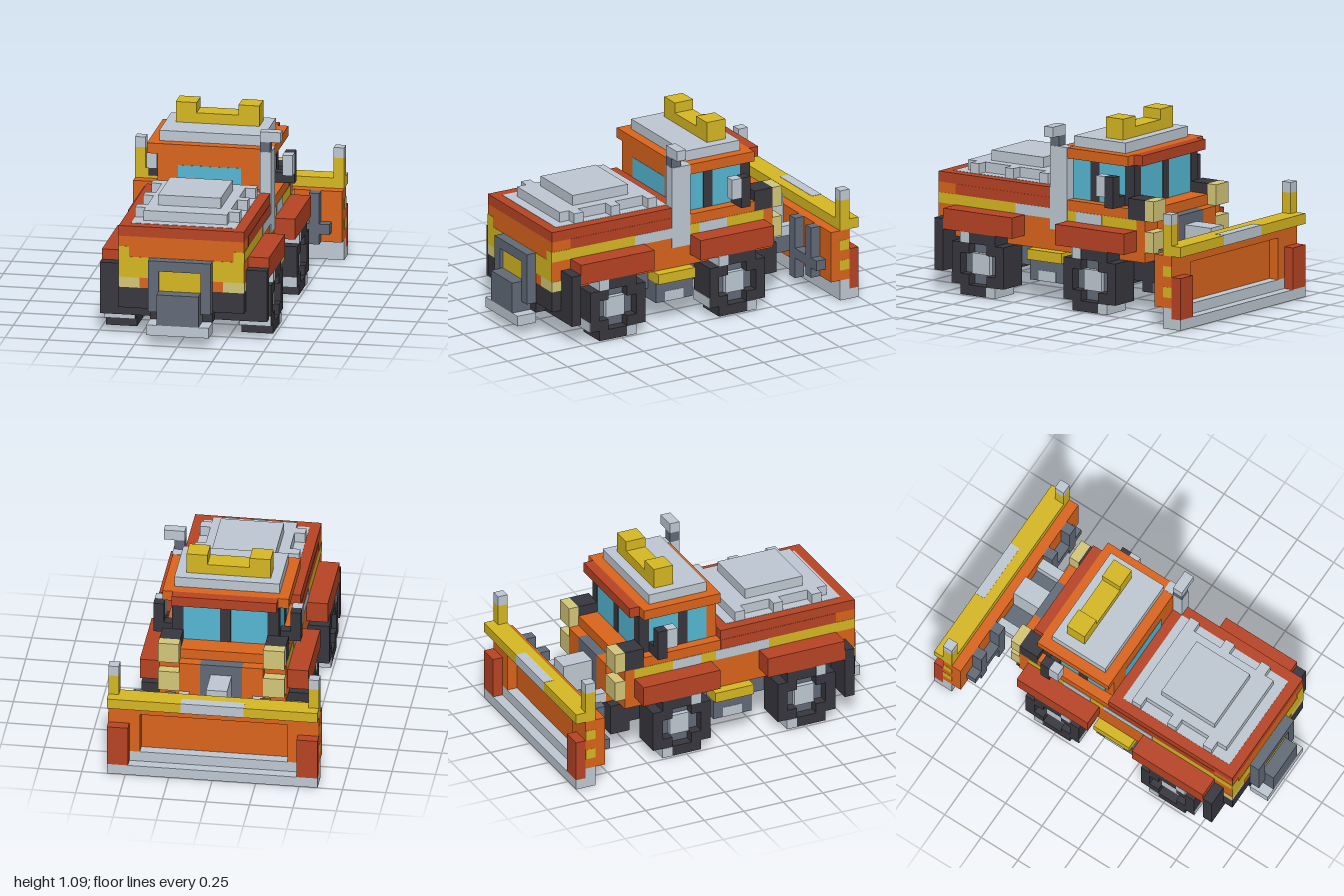
import * as THREE from 'three';

const U = 2 / 33; // one block

export function createModel() {
  const root = new THREE.Group();
  root.name = 'snowPlowTruck';
  const mat = (name, color) => {
    const m = new THREE.MeshStandardMaterial({ color });
    m.name = name;
    return m;
  };
  const orange = mat('orange', 0xdb651c), red = mat('rust red', 0xb84424);
  const yellow = mat('yellow', 0xd6b822), grey = mat('light grey', 0xbfc9d3);
  const dark = mat('dark grey', 0x626b78), black = mat('black', 0x37373e);
  const blue = mat('glass blue', 0x55b8d4), khaki = mat('lamp cream', 0xd4c778);

  // Axis-aligned block given by its limits in block units
  const box = (name, m, x0, x1, y0, y1, z0, z1) => {
    const g = new THREE.BoxGeometry((x1 - x0) * U, (y1 - y0) * U, (z1 - z0) * U);
    const mesh = new THREE.Mesh(g, m);
    mesh.position.set((x0 + x1) / 2 * U, (y0 + y1) / 2 * U, (z0 + z1) / 2 * U);
    mesh.name = name;
    root.add(mesh);
  };
  // The same block on both sides
  const pair = (name, m, x0, x1, ...r) => {
    box(name + 'Left', m, x0, x1, ...r);
    box(name + 'Right', m, -x1, -x0, ...r);
  };
  const T = 0.03; // painted plate thickness

  // Chassis and body
  box('chassis', black, -5, 5, 3, 5, -8.5, 12.5);
  box('frontBeam', black, -5, 5, 2, 5, -10.5, -8.5);
  box('rearBeam', black, -3, 3, 2, 5, 12.5, 14.5);
  pair('chassisSide', dark, 5, 5 + T, 3, 5, -1.5, 5.5);
  box('underPanel', dark, -4, 4, 3 - T, 3, -8.5, 12.5);
  box('body', orange, -6, 6, 5, 9, -9.5, 14.5);
  box('bodyUpper', orange, -6, 6, 9, 10, -7.5, 14.5);
  box('hood', orange, -4, 4, 9, 10, -9.5, -7.5);
  pair('nose', orange, 2, 4, 5, 9, -10.5, -9.5);
  box('grille', dark, -2, 2, 5, 9, -10.5, -9.5);
  pair('bodyStripe', yellow, 6, 6 + T, 8, 9, -8.5, 14.5);
  pair('stripePanelBed', grey, 6 + T, 6 + 2 * T, 8, 9, 0, 5.5);
  pair('stripePanelCab', grey, 6 + T, 6 + 2 * T, 8, 9, -4.5, -1.5);
  pair('bedSide', red, 6, 6 + T, 9, 10, 0.5, 12.5);

  // Load bed and its cover
  box('bedRim', red, -6, 6, 10, 11, 0.5, 14.5);
  box('coverBase', grey, -5, 5, 11, 11 + T, 1.5, 13.5);
  box('coverLayer', grey, -4, 4, 11, 12, 2.5, 12.5);
  box('coverTop', grey, -3, 3, 12, 13, 4.5, 10.5);
  for (const z of [2.5, 6.5, 10.5]) pair('coverTab', grey, 4, 5, 11, 12, z, z + 1);

  // Tail end
  box('tailBand', yellow, -6, 6, 6, 8, 14.5, 14.5 + T);
  pair('tailCorner', yellow, 5, 6, 8, 9, 14.5, 14.5 + T);
  pair('tailLamp', khaki, 4, 6 + T, 5, 6, 13.5, 14.5 + T);
  pair('bumper', black, 3, 6, 3, 5, 13.5, 14.5);
  box('tailFrameTop', dark, -3, 3, 7, 8, 14.5, 15.5);
  pair('tailFramePost', dark, 2, 3, 3, 7, 14.5, 15.5);
  box('tailHatch', yellow, -2, 2, 5, 7, 14.5, 15.2);
  box('hitch', dark, -2, 2, 2, 5, 14.5, 16.5);
  box('rearStep', grey, -3, 3, 1, 2, 14.5, 16.5);

  // Fenders, flaps and side steps
  pair('rearFender', red, 6, 8, 6, 8, 4.5, 12.5);
  pair('frontFender', red, 6, 8, 6, 8, -8.5, -0.5);
  pair('mudFlap', black, 3, 8, 2, 7, 12.5, 13.5);
  pair('sideStep', yellow, 5, 7, 4, 5, -0.5, 3.5);
  pair('tank', dark, 4, 6.5, 2, 4, -0.5, 3.5);
  pair('tankCap', grey, 6.5, 6.5 + T, 2, 3, 0.5, 2.5);

  // Wheels: stepped tyres with recessed cross-shaped hubs and snow on the tread
  for (const [name, z] of [['rear', 8.5], ['front', -4.5]]) {
    pair(name + 'TyreInner', black, 5, 7, 1, 5, z - 3, z + 3);
    pair(name + 'TyreBottom', black, 5, 8, 0, 1, z - 2, z + 2);
    pair(name + 'TyreTop', black, 5, 8, 5, 6, z - 2, z + 2);
    for (const s of [-1, 1]) {
      pair(name + 'TyreSide', black, 7, 8, 1, 5, z + s * 2.5 - 0.5, z + s * 2.5 + 0.5);
      for (const y of [1, 4])
        pair(name + 'TyreCorner', black, 7, 8, y, y + 1, z + s * 1.5 - 0.5, z + s * 1.5 + 0.5);
    }
    pair(name + 'Hub', dark, 7, 7 + T, 1, 5, z - 2, z + 2);
    pair(name + 'HubCentre', grey, 7, 7.5, 2, 4, z - 1, z + 1);
    pair(name + 'SnowLow', grey, 5 - T, 8 + T, -T / 4, 1 - T, z - 2 - T, z - 1);
    pair(name + 'SnowHigh', grey, 5, 8 + T, 5 + T, 6 + T, z + 1, z + 2 + T);
    pair(name + 'SnowTread', grey, 5, 8, 1, 2, z + 3, z + 3 + T);
    box(name + 'Axle', black, -5, 5, 2, 3, z - 1, z + 1);
  }

  // Cab
  box('cab', orange, -5, 5, 10, 14, -7.5, 0.5);
  box('roof', orange, -6, 6, 14, 15, -7.5, 0.5);
  box('visor', red, -5, 5, 14, 15, -8.5, -7.5);
  box('roofPlate', grey, -5, 5, 15, 16, -6.5, -0.5);
  box('lightBar', yellow, -4, 4, 16, 17, -5.5, -3.5);
  pair('beacon', yellow, 2, 4, 17, 18, -5.5, -3.5);
  pair('sideWindow', blue, 5, 5 + T, 10, 14, -6.5, -0.5);
  pair('doorPillar', black, 5, 5 + 2 * T, 10, 14, -3.5, -2.5);
  pair('cornerPillar', black, 4, 5 + 2 * T, 10, 14, -7.5 - 2 * T, -6.5);
  box('windshield', blue, -4, 4, 10, 14, -7.5 - T, -7.5);
  box('windshieldPillar', black, -0.5, 0.5, 10, 14, -7.5 - 2 * T, -7.5 - T);
  box('rearWindow', blue, -3, 3, 11, 13, 0.5, 0.5 + T);
  pair('mirror', grey, 6, 7, 11, 13, -5.5, -4.5);
  pair('mirrorBack', black, 6, 7, 11, 13, -6.5, -5.5);
  pair('mirrorArm', black, 5, 7, 10, 11, -6.5, -5.5);

  // Exhaust stack on one side
  box('exhaust', grey, 5, 6 + 3 * T, 7, 15 + T, -0.5, 1.5);
  box('exhaustNeck', dark, 5, 6, 15, 16, 0.5, 1.5);
  box('exhaustTip', grey, 5, 7, 16, 17, 0.5, 1.5);

  // Headlamps
  pair('lampHousing', black, 4, 6, 9, 11, -9.5, -7.5);
  pair('headlamp', khaki, 4, 6, 9, 11, -10.5, -9.5);
  pair('lowerLamp', khaki, 4, 6, 6, 8, -10.5, -9.5);

  // Plow mount
  box('mountBase', dark, -3, 3, 3, 5, -13.5, -10.5);
  box('mountRam', grey, -1, 1, 5, 8, -13.5, -10.5);
  pair('mountArm', grey, 3, 4, 5, 6, -13.5, -10.5);

  // Plow blade
  box('bladeBack', orange, -10, 10, 2, 7, -14.5, -13.5);
  pair('bladeColumn', orange, 7, 10, 2, 7, -15.5, -14.5);
  box('bladeHeader', orange, -7, 7, 6, 7, -15.5, -14.5);
  for (const y of [3, 5]) pair('bladeMark', yellow, 10, 10 + T / 2, y, y + 1, -15.5, -14.5);
  pair('bladeEnd', red, 8, 10, 1, 5, -16.5, -15.5);
  box('bladeLip', grey, -10, 10, 1, 2, -15.5, -14.5);
  box('bladeEdge', grey, -10, 10, 0, 1, -16.5, -14.5);
  box('bladeTopBar', yellow, -10, 10, 7, 8, -16.5, -14.5);
  box('bladeTopPatch', grey, -3, 3, 7, 8 + T, -16.5 - T / 4, -15.5);
  pair('markerPost', yellow, 9, 10, 8, 10, -15.5, -14.5);
  pair('markerTip', grey, 9, 10, 10, 11, -15.5, -14.5);
  pair('bladeRib', dark, 4, 5, 1, 7, -13.5, -12.5);
  pair('bladeRibOuter', dark, 7, 8, 2, 7, -13.5, -12.5);
  pair('bladeCrossRib', dark, 5, 9, 3, 4, -13.5, -12.5);
  return root;
}
